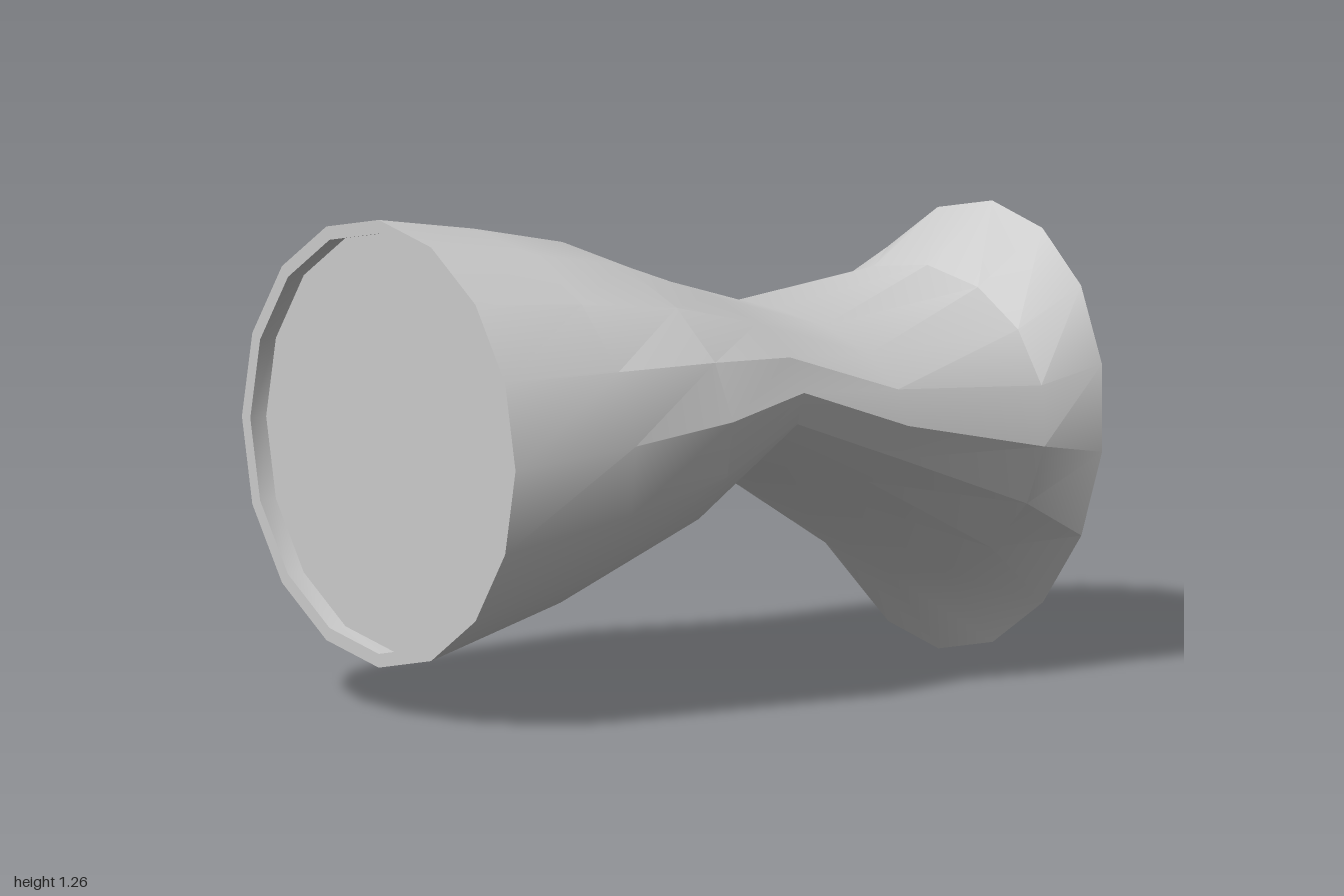
import * as THREE from 'three';
import { toCreasedNormals } from 'three/addons/utils/BufferGeometryUtils.js';

const SIDES = 16;

// Skin a row of elliptical rings; each ring is
// [topX, topY, bottomX, bottomY, centreZ, halfWidthZ], running towards +x.
function loft(rings) {
  const point = ([tx, ty, bx, by, cz, hz], j) => {
    const a = (j / SIDES) * Math.PI * 2;
    const c = Math.cos(a);
    return [(tx + bx) / 2 + (tx - bx) / 2 * c, (ty + by) / 2 + (ty - by) / 2 * c, cz + hz * Math.sin(a)];
  };
  const positions = [];
  for (let i = 0; i < rings.length - 1; i++) {
    const [r, s] = [rings[i], rings[i + 1]];
    for (let j = 0; j < SIDES; j++) {
      const [a, b, c, d] = [point(r, j), point(r, j + 1), point(s, j + 1), point(s, j)];
      // A ring of zero width is a single point, so one triangle is left out there
      if (r[5] > 0) positions.push(...a, ...b, ...d);
      if (s[5] > 0) positions.push(...b, ...c, ...d);
    }
  }
  const geometry = new THREE.BufferGeometry();
  geometry.setAttribute('position', new THREE.Float32BufferAttribute(positions, 3));
  return toCreasedNormals(geometry, Math.PI / 6);
}

export function createModel() {
  const group = new THREE.Group();
  group.name = 'flaredBentTube';
  const grey = new THREE.MeshStandardMaterial({ color: 0xcccccc });
  grey.name = 'light grey';
  const add = (name, rings) => {
    const mesh = new THREE.Mesh(loft(rings), grey);
    mesh.name = name;
    group.add(mesh);
  };

  const wideEnd = [-1, 1.27, -1, 0.13, 0, 0.57];
  const flaredEnd = [0.975, 1.13, 0.805, 0.005, -0.05, 0.57];

  // Bell, pinched waist and slanted flare
  add('body', [
    wideEnd,
    [-0.7, 1.22, -0.6, 0.25, 0, 0.61],
    [-0.42, 1.16, -0.32, 0.39, 0, 0.645],
    [-0.12, 1.04, -0.06, 0.59, 0, 0.572],
    [0.24, 0.93, 0.24, 0.47, 0, 0.572],
    [0.77, 0.985, 0.65, 0.21, -0.05, 0.568],
    flaredEnd,
  ]);

  // Recessed disc and rim in the wide end
  add('recessedEnd', [
    [-0.95, 0.7, -0.95, 0.7, 0, 0],
    [-0.95, 1.235, -0.95, 0.165, 0, 0.535],
    [-1, 1.235, -1, 0.165, 0, 0.535],
    wideEnd,
  ]);

  // Bevelled raised disc on the flared end
  add('raisedEnd', [
    flaredEnd,
    [0.972, 1.112, 0.808, 0.023, -0.05, 0.55],
    [1, 1.07, 0.845, 0.058, -0.05, 0.512],
    [0.9225, 0.564, 0.9225, 0.564, -0.05, 0],
  ]);

  return group;
}
